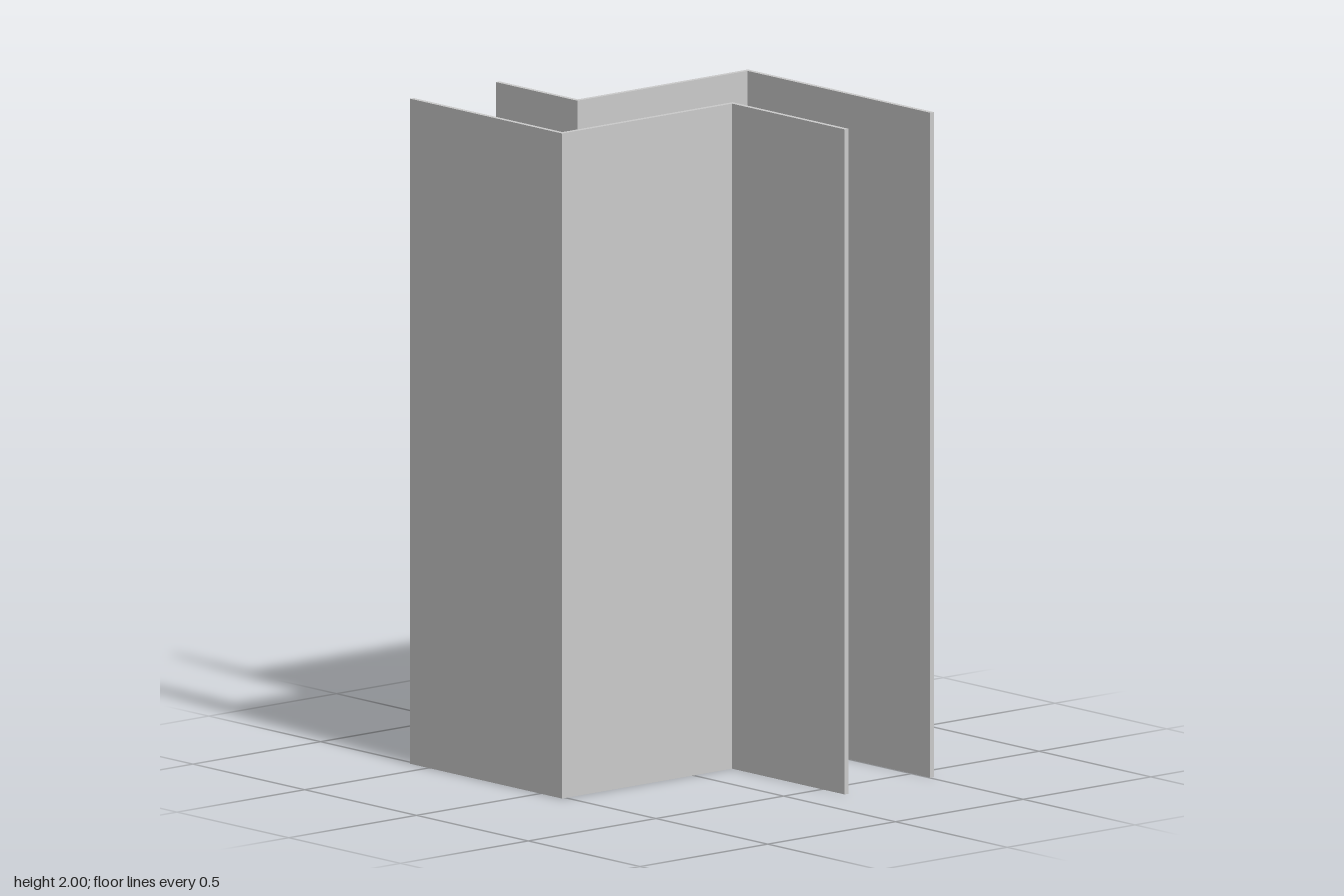
import * as THREE from 'three';

const HEIGHT = 2;
const T = 0.015; // sheet thickness

// Z-shaped sheet: left flange at zFront, web at xWeb, right flange at zBack
function zWall(name, xLeft, xWeb, xRight, zFront, zBack, material) {
  const outline = [
    [xLeft, zFront], [xWeb + T, zFront], [xWeb + T, zBack + T], [xRight, zBack + T],
    [xRight, zBack], [xWeb, zBack], [xWeb, zFront - T], [xLeft, zFront - T],
  ];
  const shape = new THREE.Shape(outline.map(([x, z]) => new THREE.Vector2(x, -z)));
  const geometry = new THREE.ExtrudeGeometry(shape, { depth: HEIGHT, bevelEnabled: false });
  geometry.rotateX(-Math.PI / 2);
  const mesh = new THREE.Mesh(geometry, material);
  mesh.name = name;
  return mesh;
}

export function createModel() {
  const group = new THREE.Group();
  group.name = 'steppedWalls';
  const material = new THREE.MeshStandardMaterial({ color: 0xcccccc });
  group.add(
    zWall('frontWall', -0.583, 0.082, 0.6, 0.515, -0.166, material),
    zWall('rearWall', -0.6, -0.25, 0.582, 0.164, -0.517, material),
  );
  return group;
}
